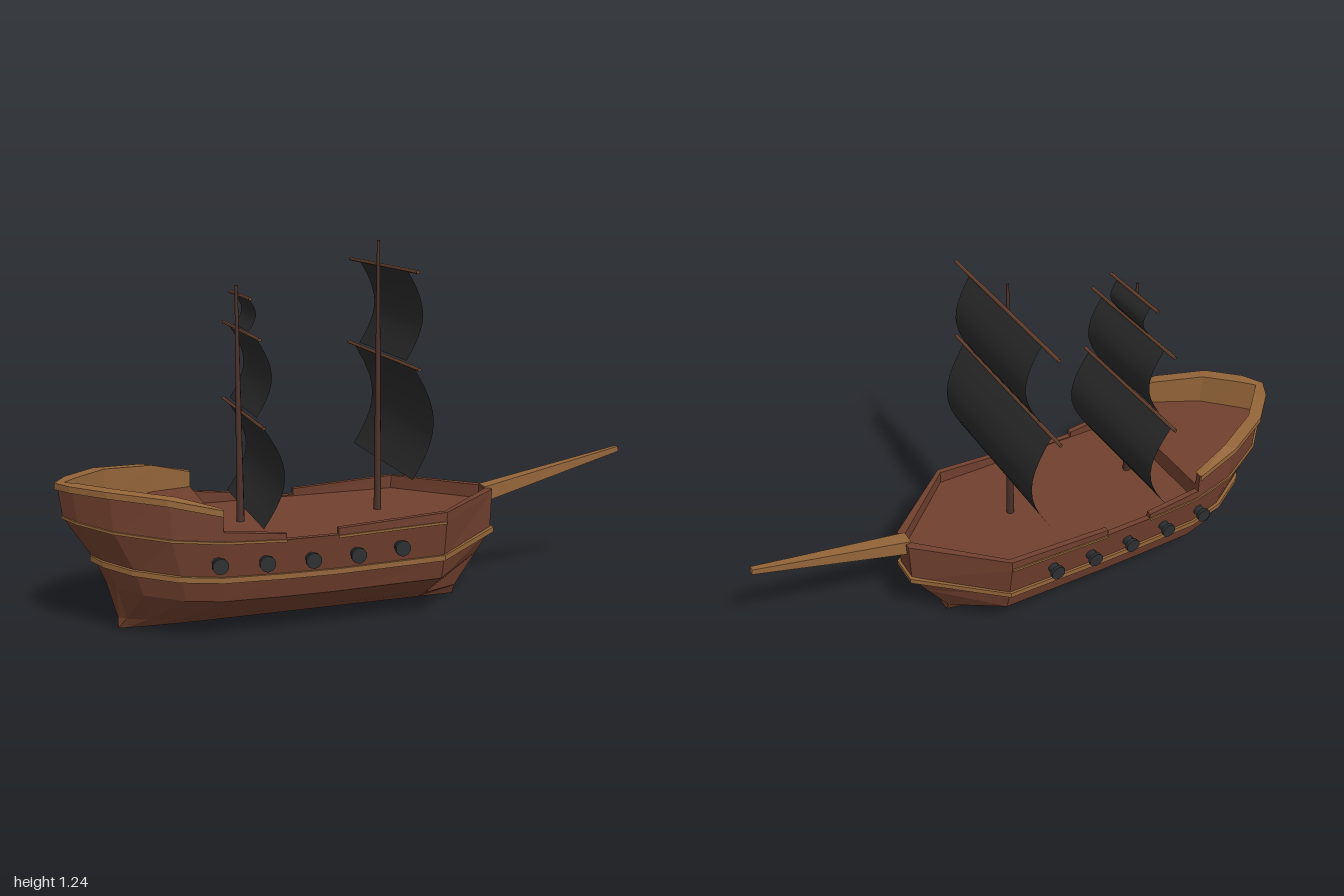
import * as THREE from 'three';

const paint = (name, color, side = THREE.FrontSide) => {
  const m = new THREE.MeshStandardMaterial({ color, side });
  m.name = name;
  return m;
};

// Hull stations from stern to bow: x, half width, bulwark top, deck height.
// Repeated x values make the steps in the bulwark and the deck.
const STATIONS = [
  [-0.99, 0, 0.498, 0.39], [-0.95, 0.065, 0.5, 0.39], [-0.85, 0.165, 0.498, 0.39],
  [-0.68, 0.25, 0.48, 0.39], [-0.52, 0.28, 0.44, 0.39],
  [-0.52, 0.28, 0.372, 0.325], [-0.32, 0.28, 0.35, 0.325],
  [-0.32, 0.28, 0.331, 0.325], [-0.15, 0.28, 0.331, 0.325],
  [-0.15, 0.28, 0.352, 0.325], [0.22, 0.28, 0.372, 0.325], [0.485, 0.045, 0.372, 0.325],
];
const N = STATIONS.length;

// Closed outline at one level: stern and bow are drawn in by rake, g grows it outward
function outline(height, stern, bow, width, bowZ, g = 0) {
  const port = STATIONS.map(([x, z, top, deck], i) => {
    let px = x;
    if (x < -0.52) px = -0.52 + (x + 0.52) * stern - g;
    if (x > 0.22) px = 0.22 + (x - 0.22) * bow + g;
    const pz = i === 0 ? 0 : (i === N - 1 ? bowZ : z * width) + g;
    return new THREE.Vector3(px, height(x, top, deck), pz);
  });
  const starboard = port.slice(1).reverse().map((p) => new THREE.Vector3(p.x, p.y, -p.z));
  return [...port, ...starboard];
}

function facets(quads) {
  const pos = [];
  for (const [a, b, c, d] of quads) for (const p of [a, b, c, a, c, d]) pos.push(p.x, p.y, p.z);
  const geo = new THREE.BufferGeometry();
  geo.setAttribute('position', new THREE.Float32BufferAttribute(pos, 3));
  geo.computeVertexNormals();
  return geo;
}

// Faces between successive outlines, over stations from..to on both sides
function skin(loops, from = 0, to = N - 1) {
  const quads = [], n = loops[0].length;
  const station = (k) => (k < N ? k : n - k);
  for (let l = 0; l + 1 < loops.length; l++) {
    for (let k = 0; k < n; k++) {
      const j = (k + 1) % n, s = station(k), t = station(j);
      if (Math.min(s, t) < from || Math.max(s, t) > to) continue;
      quads.push([loops[l][k], loops[l][j], loops[l + 1][j], loops[l + 1][k]]);
    }
  }
  return quads;
}

// Faces across an outline, from side to side
function cap(loop, up) {
  const quads = [], n = loop.length;
  for (let i = 0; i < N - 1; i++) {
    const q = [loop[(n - i) % n], loop[i], loop[i + 1], loop[n - i - 1]];
    quads.push(up ? q : q.reverse());
  }
  return quads;
}

export function createModel() {
  const ship = new THREE.Group();
  ship.name = 'sailingShip';
  const wood = paint('hull wood', 0x71402e);
  const trim = paint('light trim', 0x946539);
  const dark = paint('mast wood', 0x4a2f28);
  const yardWood = paint('yard wood', 0x64402e);
  const cloth = paint('black sailcloth', 0x2a2a2a, THREE.DoubleSide);
  const iron = paint('cannon iron', 0x2b2e30);

  const add = (name, geo, mat, x = 0, y = 0, z = 0, parent = ship) => {
    const mesh = new THREE.Mesh(geo, mat);
    mesh.name = name;
    mesh.position.set(x, y, z);
    parent.add(mesh);
    return mesh;
  };

  // Hull, bulwarks and decks
  const sheer = (x) => 0.2 + 0.055 * (x + 0.15) ** 2;
  const rail = (x) => 0.325 + 0.09 * (x + 0.15) ** 2;
  const topAt = (x, top) => top;
  const deckAt = (x, top, deck) => deck;
  const bottom = outline(() => 0, 0.63, 0.49, 0.07, 0.02);
  const floor = outline(deckAt, 0.98, 1, 1, 0.045, -0.02);
  const hullLoops = [
    bottom,
    outline(() => 0.037, 0.63, 0.49, 0.32, 0.04),
    outline((x) => 0.13 + 0.04 * (x + 0.15) ** 2, 0.7, 0.78, 0.84, 0.04),
    outline(sheer, 0.77, 0.98, 0.91, 0.043),
    outline(rail, 0.97, 1, 0.985, 0.045),
    outline(topAt, 1, 1, 0.99, 0.045),
    outline(topAt, 1, 1, 0.99, 0.045, -0.02),
    floor,
  ];
  add('hull', facets([...skin(hullLoops), ...cap(bottom, false)]), wood);
  add('decks', facets(cap(floor, true)), wood);

  // Trim strips around the hull
  const strip = (name, line, h, grow, shape, from, to) => {
    const at = (dy, g) => outline((x) => line(x) + dy, ...shape, g);
    add(name, facets(skin([at(-h, -0.005), at(-h, grow), at(h, grow), at(h, -0.005)], from, to)), trim);
  };
  strip('waterlineTrim', (x) => sheer(x) + 0.006, 0.009, 0.01, [0.78, 0.98, 0.915, 0.043]);
  strip('aftRailTrim', rail, 0.004, 0.005, [0.97, 1, 0.985, 0.045], 0, 6);
  strip('foreRailTrim', rail, 0.004, 0.005, [0.97, 1, 0.985, 0.045], 9, 10);

  // Quarterdeck rail with its light inner face
  const top = (dy) => (x, t) => t + dy;
  add('quarterdeckRail', facets(skin([
    outline(top(-0.018), 0.99, 1, 0.99, 0.045),
    outline(top(-0.018), 1, 1, 0.99, 0.045, 0.008),
    outline(top(0.003), 1, 1, 0.99, 0.045, 0.008),
    outline(top(0.003), 1, 1, 0.99, 0.045, -0.024),
    outline(deckAt, 0.98, 1, 0.99, 0.045, -0.022),
  ], 0, 4)), trim);

  // Bowsprit
  const spritGeo = new THREE.CylinderGeometry(0.013, 0.037, 0.54, 4).rotateY(Math.PI / 4).toNonIndexed();
  spritGeo.computeVertexNormals();
  add('bowsprit', spritGeo, trim, 0.735, 0.412, 0).rotation.z = -Math.atan2(0.53, 0.122);

  // Masts, yards and billowing sails: yard height, yard half, sail half, sail foot, billow
  const rigs = [
    { name: 'mainMast', x: 0.077, top: 1.237, sails: [
      [1.155, 0.332, 0.233, 0.868, 0.055], [0.857, 0.352, 0.297, 0.493, 0.07]] },
    { name: 'aftMast', x: -0.403, top: 1.102, sails: [
      [1.07, 0.14, 0.1, 0.965, 0.025], [0.957, 0.25, 0.19, 0.705, 0.05],
      [0.69, 0.285, 0.26, 0.365, 0.07]] },
  ];
  for (const rig of rigs) {
    const group = new THREE.Group();
    group.name = rig.name + 'Rig';
    ship.add(group);
    const h = rig.top - 0.31;
    add(rig.name, new THREE.CylinderGeometry(0.005, 0.014, h, 8), dark, rig.x, 0.31 + h / 2, 0, group);
    for (const [y, yardHalf, half, foot, billow] of rig.sails) {
      const yx = rig.x + 0.012;
      add('yard', new THREE.CylinderGeometry(0.006, 0.006, yardHalf * 2, 6).rotateX(Math.PI / 2),
        yardWood, yx, y, 0, group);
      const drop = y - foot;
      const geo = new THREE.PlaneGeometry(half * 2, drop, 1, 10).rotateY(Math.PI / 2);
      const p = geo.attributes.position;
      for (let i = 0; i < p.count; i++) {
        p.setX(i, billow * Math.sin(Math.PI * (p.getY(i) / drop + 0.5)));
      }
      geo.computeVertexNormals();
      add('sail', geo, cloth, yx + 0.003, y - drop / 2, -0.004, group);
    }
  }

  // Cannons along both sides
  const cannonY = [0.272, 0.265, 0.261, 0.263, 0.272];
  for (const side of [-1, 1]) {
    cannonY.forEach((y, i) => {
      const x = -0.537 + i * 0.149;
      const barrel = new THREE.CylinderGeometry(0.019, 0.019, 0.06, 10).rotateX(Math.PI / 2);
      const muzzle = new THREE.CylinderGeometry(0.026, 0.026, 0.012, 10).rotateX(Math.PI / 2);
      add('cannonBarrel', barrel, iron, x, y, side * 0.265);
      add('cannonMuzzle', muzzle, iron, x, y, side * 0.298);
    });
  }
  return ship;
}
